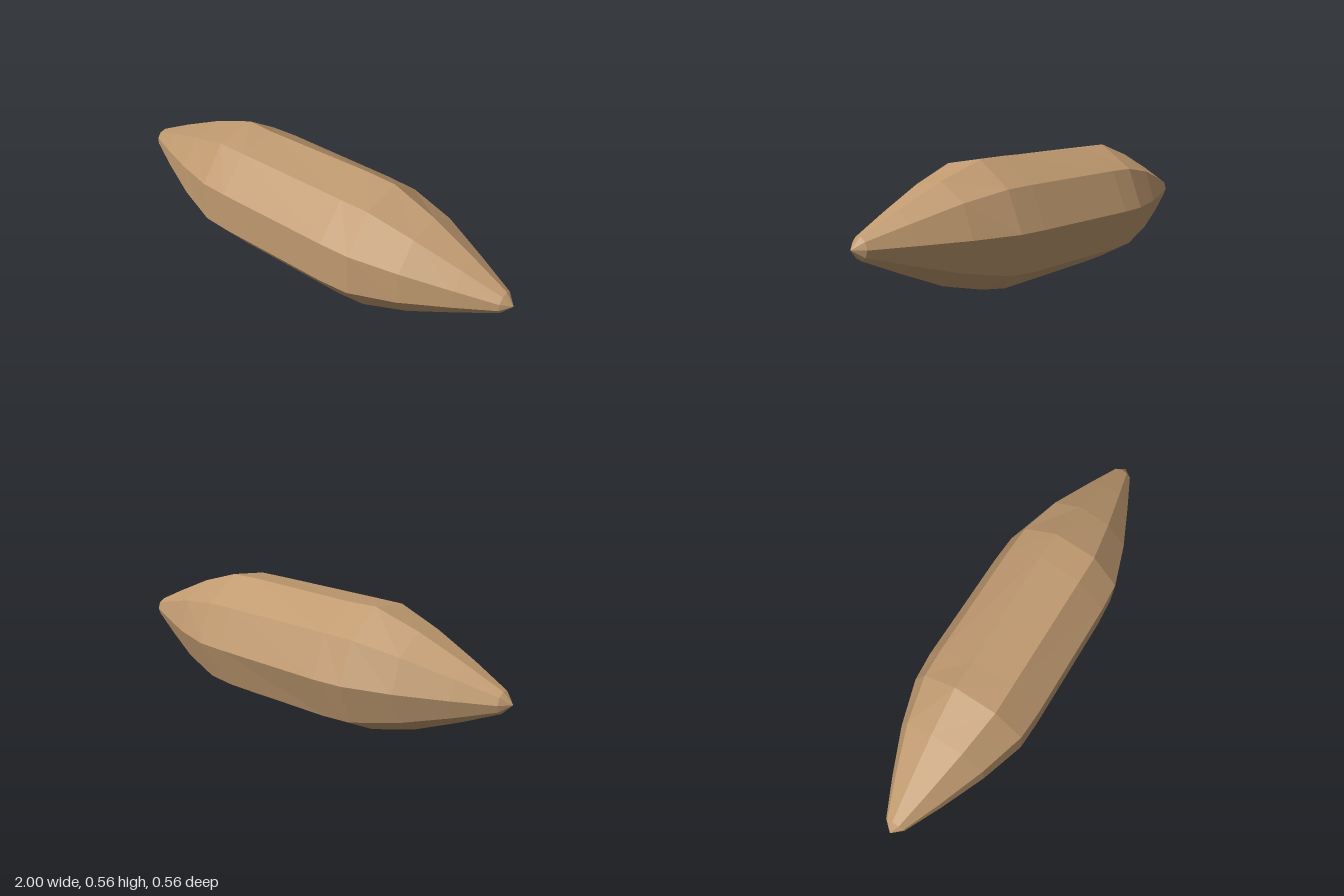
import * as THREE from 'three';

const SIDES = 9;
const CENTRE_Y = 0.285;
const CENTRE_Z = 0.005;

// Cross-sections along x: one radius, or one radius per corner for the uneven belly
const RINGS = [
  [-1, 0],
  [-0.96, 0.046],
  [-0.8, 0.124],
  [-0.6, 0.212],
  [-0.4, [0.275, 0.268, 0.279, 0.282, 0.28, 0.278, 0.277, 0.269, 0.275]],
  [-0.27, [0.286, 0.273, 0.274, 0.283, 0.288, 0.284, 0.284, 0.275, 0.284]],
  [0.27, [0.282, 0.27, 0.283, 0.284, 0.288, 0.284, 0.286, 0.289, 0.286]],
  [0.4, [0.275, 0.264, 0.279, 0.283, 0.28, 0.276, 0.277, 0.267, 0.275]],
  [0.6, 0.212],
  [0.8, 0.122],
  [0.96, 0.046],
  [1, 0],
];

// Corner k of ring i, counted upwards from the back
function corner(i, k) {
  const [x, radius] = RINGS[i];
  const side = k % SIDES;
  const r = Array.isArray(radius) ? radius[side] : radius;
  const a = (side / SIDES) * Math.PI * 2;
  return [x, CENTRE_Y + r * Math.sin(a), CENTRE_Z - r * Math.cos(a)];
}

function spindleGeometry() {
  const positions = [];
  const last = RINGS.length - 2;
  for (let i = 0; i <= last; i++) {
    for (let k = 0; k < SIDES; k++) {
      const a = corner(i, k);
      const b = corner(i, k + 1);
      const c = corner(i + 1, k + 1);
      const d = corner(i + 1, k);
      // The end rings close to a point, so they need one triangle per side
      if (i < last) positions.push(...a, ...c, ...d);
      if (i > 0) positions.push(...a, ...b, ...c);
      if (i === last) continue;
      if (i === 0) continue;
    }
  }
  const geometry = new THREE.BufferGeometry();
  geometry.setAttribute('position', new THREE.Float32BufferAttribute(positions, 3));
  geometry.computeVertexNormals();
  return geometry;
}

export function createModel() {
  const wood = new THREE.MeshStandardMaterial({ color: 0xc09a70, flatShading: true });
  wood.name = 'light brown wood';

  // Faceted body, tapering to a blunt point at both ends
  const body = new THREE.Mesh(spindleGeometry(), wood);
  body.name = 'spindleBody';

  const model = new THREE.Group();
  model.name = 'spindle';
  model.add(body);
  return model;
}
